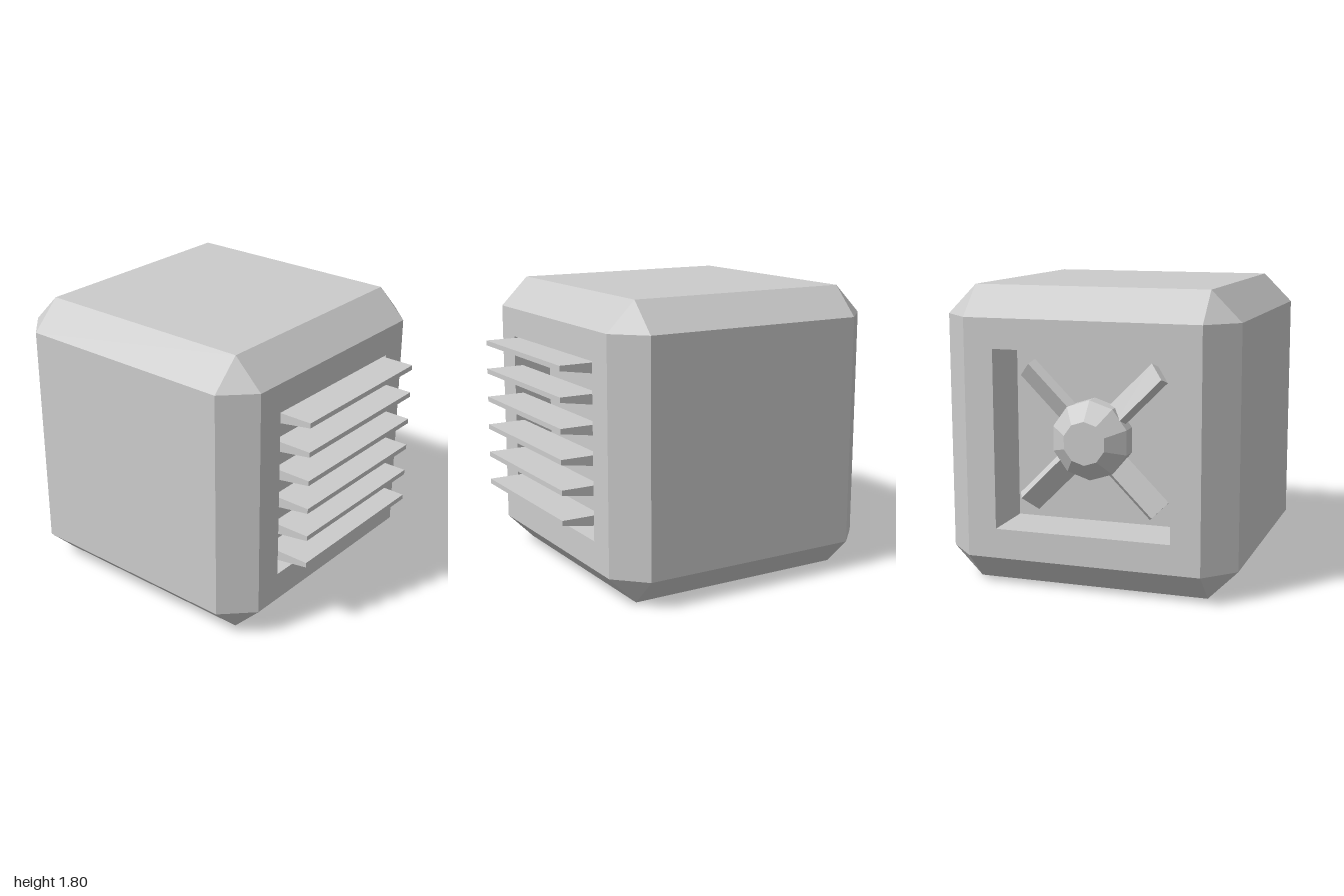
import * as THREE from 'three';

const H = 0.9;      // half size of the body
const F = 0.72;     // half size of each flat face, inside the chamfers
const O = 0.54;     // half size of the square openings
const material = new THREE.MeshStandardMaterial({ color: 0xcccccc, flatShading: true });

function add(parent, name, geometry) {
  const mesh = new THREE.Mesh(geometry, material);
  mesh.name = name;
  parent.add(mesh);
  return mesh;
}

// Flat convex polygons wound so they face away from the origin (or towards it)
function polygons(list, inward = false) {
  const out = [];
  for (const pts of list) {
    const v = pts.map((p) => new THREE.Vector3(...p));
    const n = v[1].clone().sub(v[0]).cross(v[2].clone().sub(v[0]));
    const mid = v.reduce((s, p) => s.add(p), new THREE.Vector3());
    if ((n.dot(mid) < 0) !== inward) v.reverse();
    for (let i = 1; i < v.length - 1; i++) {
      for (const p of [v[0], v[i], v[i + 1]]) out.push(p.x, p.y, p.z);
    }
  }
  const g = new THREE.BufferGeometry();
  g.setAttribute('position', new THREE.Float32BufferAttribute(out, 3));
  g.computeVertexNormals();
  return g;
}

// Side faces, chamfered edges and clipped corners
function shellGeometry() {
  const list = [];
  const at = (axis, a, b, c) => {
    const p = [0, 0, 0];
    p[axis] = a;
    p[(axis + 1) % 3] = b;
    p[(axis + 2) % 3] = c;
    return p;
  };
  for (let axis = 0; axis < 3; axis++) {
    for (const s of [-1, 1]) {
      if (axis < 2) {
        list.push([at(axis, s * H, -F, -F), at(axis, s * H, F, -F), at(axis, s * H, F, F), at(axis, s * H, -F, F)]);
      }
      for (const t of [-1, 1]) {
        list.push([at(axis, -F, s * H, t * F), at(axis, F, s * H, t * F), at(axis, F, s * F, t * H), at(axis, -F, s * F, t * H)]);
      }
    }
  }
  for (const x of [-1, 1]) for (const y of [-1, 1]) for (const z of [-1, 1]) {
    list.push([[x * H, y * F, z * F], [x * F, y * H, z * F], [x * F, y * F, z * H]]);
  }
  return polygons(list);
}

function square(r, Type) {
  return new Type([[-r, -r], [r, -r], [r, r], [-r, r]].map(([x, y]) => new THREE.Vector2(x, y)));
}

// Square frame around a recess with four walls and a floor, facing +z
function addRecess(parent, name, depth) {
  const frame = square(F, THREE.Shape);
  frame.holes.push(square(O, THREE.Path));
  add(parent, name + 'Frame', new THREE.ShapeGeometry(frame)).position.z = H;

  const walls = [];
  for (const s of [-1, 1]) {
    walls.push([[s * O, -O, H], [s * O, O, H], [s * O, O, H - depth], [s * O, -O, H - depth]]);
    walls.push([[-O, s * O, H], [O, s * O, H], [O, s * O, H - depth], [-O, s * O, H - depth]]);
  }
  add(parent, name + 'Walls', polygons(walls, true));
  add(parent, name + 'Floor', new THREE.PlaneGeometry(2 * O, 2 * O)).position.z = H - depth;
}

export function createModel() {
  const model = new THREE.Group();
  model.name = 'ventilationUnit';
  const body = new THREE.Group();
  body.name = 'body';
  body.position.set(0, 0.9, -0.1);
  model.add(body);
  add(body, 'shell', shellGeometry());

  // Front vent with tapered slats
  const vent = new THREE.Group();
  vent.name = 'frontVent';
  body.add(vent);
  addRecess(vent, 'vent', 0.25);

  // Slat profile: x runs along the depth, y up
  const profile = new THREE.Shape([[0, 0], [0, -0.07], [0.25, -0.031], [0.25, 0]].map(([x, y]) => new THREE.Vector2(x, y)));
  const slat = new THREE.ExtrudeGeometry(profile, { depth: 1.055, bevelEnabled: false });
  slat.rotateY(-Math.PI / 2);
  slat.translate(0.5275, 0, 0);
  for (let i = 0; i < 6; i++) {
    add(vent, 'slat', slat).position.set(0, 0.53 - 0.183 * i, 0.85);
  }

  // Rear recess with a fan
  const rear = new THREE.Group();
  rear.name = 'rearFan';
  rear.rotation.y = Math.PI;
  body.add(rear);
  addRecess(rear, 'fan', 0.36);

  // Hub: faceted, domed towards the outside
  const hubProfile = [[0.18, 0.54], [0.24, 0.64], [0.24, 0.74], [0.13, 0.84], [0, 0.84]];
  const hub = new THREE.LatheGeometry(hubProfile.map(([r, y]) => new THREE.Vector2(r, y)), 10);
  hub.rotateX(Math.PI / 2);
  add(rear, 'hub', hub);

  // Four pitched blades on the diagonals
  const blade = new THREE.BoxGeometry(0.42, 0.14, 0.06);
  blade.translate(0.37, 0, 0);
  for (let i = 0; i < 4; i++) {
    const b = add(rear, 'blade', blade);
    b.position.z = 0.68;
    b.rotation.order = 'ZYX';
    b.rotation.set(-0.6, 0, Math.PI / 4 + (i * Math.PI) / 2);
  }
  return model;
}
